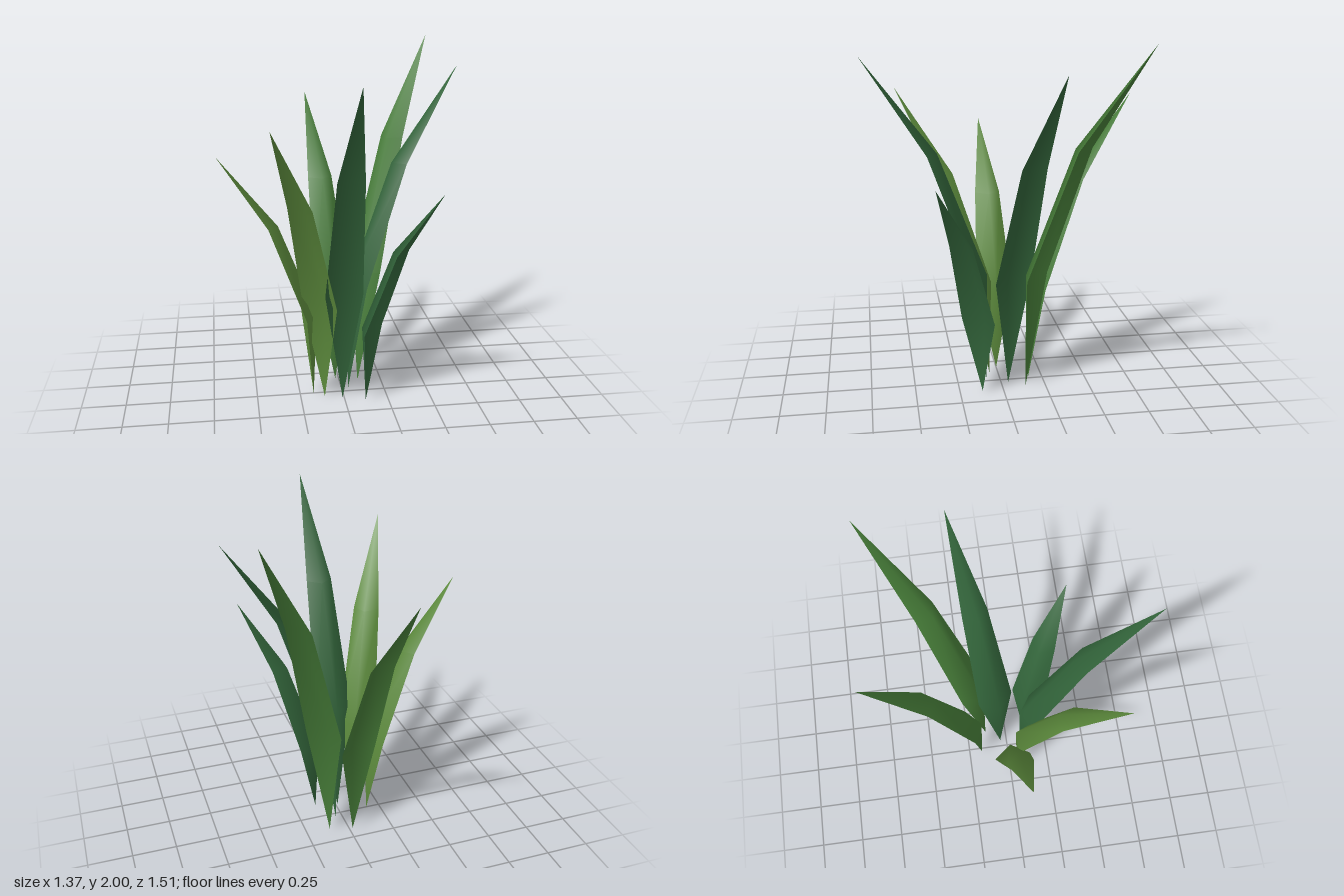
import * as THREE from 'three';

const DEEP = 0x32643a, MID = 0x467c38, OLIVE = 0x5c8a3c;

// Each blade: root [x, z], tip [x, y, z], colour
const BLADES = [
  ['frontBlade', [-0.01, 0.08], [-0.01, 1.9, 0.75], DEEP],
  ['frontLeftBlade', [0.12, 0.12], [0.48, 1.29, 0.395], DEEP],
  ['frontRightBlade', [-0.11, 0.05], [-0.425, 1.67, 0.55], OLIVE],
  ['rightBlade', [-0.17, 0], [-0.685, 1.44, 0.035], OLIVE],
  ['backBlade', [-0.02, -0.17], [-0.13, 1.66, -0.76], MID],
  ['backLeftBlade', [0.11, -0.13], [0.6, 2, -0.67], MID],
  ['leftBlade', [0.04, -0.04], [0.68, 1.87, -0.22], DEEP],
];

// Cross-sections up the blade: height fraction, outward lean, half width, fold depth
const SECTIONS = [
  { t: 0.345, lean: 0.1, half: 0.106, fold: 0.073 },
  { t: 0.72, lean: 0.485, half: 0.073, fold: 0.06 },
];

// A pointed leaf, creased lengthwise with the ridge towards the middle of the plant
function bladeGeometry([rx, rz], [tx, ty, tz]) {
  const root = new THREE.Vector3(rx, 0, rz);
  const lean = new THREE.Vector3(tx - rx, 0, tz - rz);
  const out = lean.clone().normalize();
  const side = new THREE.Vector3(-out.z, 0, out.x);
  const points = [root];
  for (const s of SECTIONS) {
    const spine = root.clone().addScaledVector(lean, s.lean);
    spine.y = s.t * ty;
    points.push(
      spine.clone().addScaledVector(side, -s.half),
      spine.clone().addScaledVector(out, -s.fold),
      spine.clone().addScaledVector(side, s.half),
    );
  }
  points.push(new THREE.Vector3(tx, ty, tz));

  const index = [];
  for (let i = 0; i < 2; i++) {
    const a = 1 + i, b = 4 + i;
    index.push(0, a + 1, a); // root
    index.push(a, a + 1, b + 1, a, b + 1, b); // middle
    index.push(b, b + 1, 7); // tip
  }
  const geometry = new THREE.BufferGeometry().setFromPoints(points);
  geometry.setIndex(index);
  geometry.computeVertexNormals();
  return geometry;
}

export function createModel() {
  const plant = new THREE.Group();
  plant.name = 'grassTuft';
  for (const [name, root, tip, color] of BLADES) {
    const material = new THREE.MeshStandardMaterial({ color, side: THREE.DoubleSide });
    const blade = new THREE.Mesh(bladeGeometry(root, tip), material);
    blade.name = name;
    plant.add(blade);
  }
  return plant;
}
